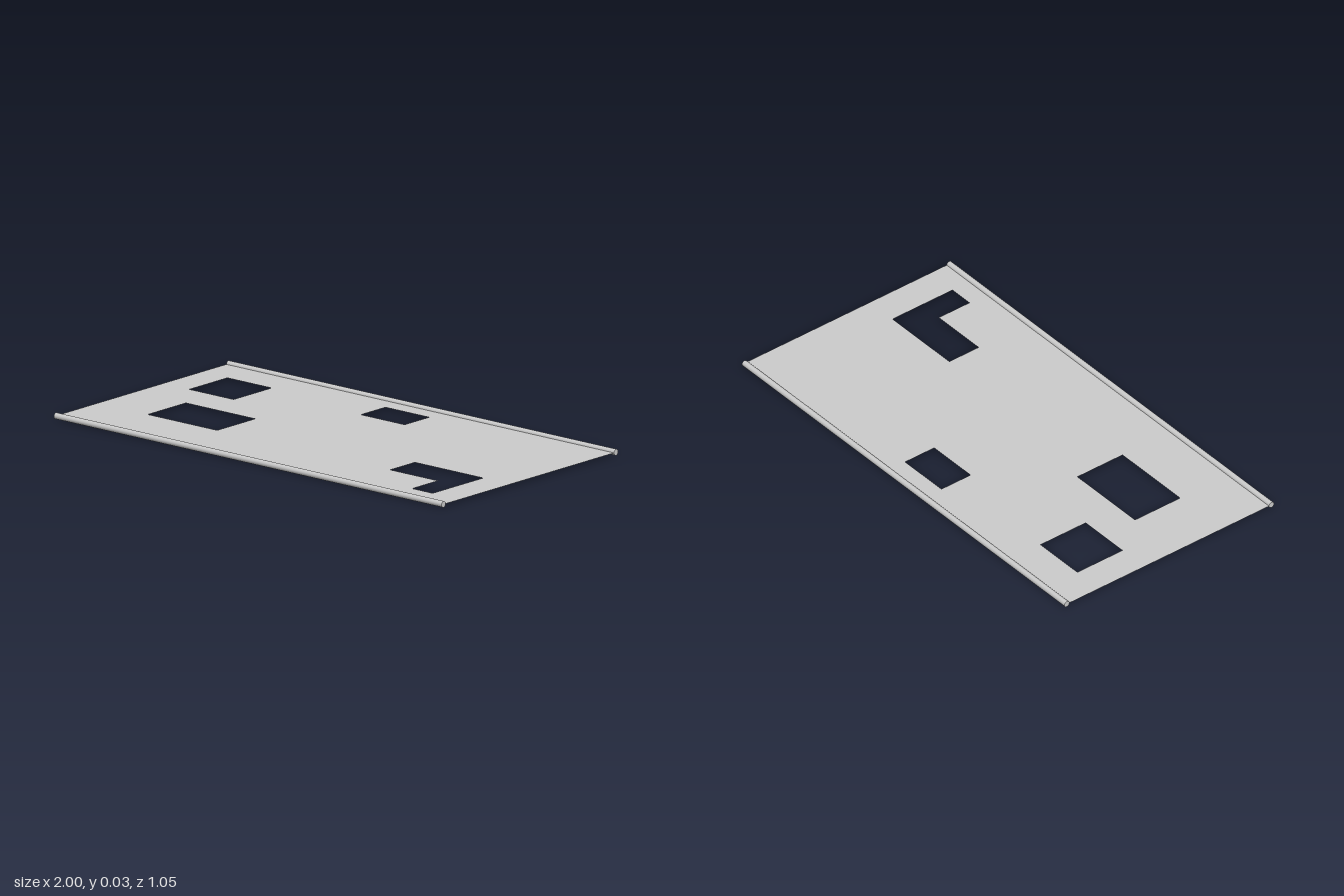
import * as THREE from 'three';

const RAIL_RADIUS = 0.0125;
const RAIL_Z = 0.511;

// Outline given as [x, z] corners, mapped to the shape plane (y = -z)
const toPoints = (corners) => corners.map(([x, z]) => new THREE.Vector2(x, -z));
const rect = (x0, x1, z0, z1) => [[x0, z0], [x1, z0], [x1, z1], [x0, z1]];

export function createModel() {
  const group = new THREE.Group();
  group.name = 'panel';
  const material = new THREE.MeshStandardMaterial({ color: 0xcccccc });
  const sheetMaterial = new THREE.MeshStandardMaterial({ color: 0xcccccc, side: THREE.DoubleSide });

  // Thin sheet with cut-outs
  const outline = new THREE.Shape(toPoints(rect(-1, 1, -RAIL_Z, RAIL_Z)));
  const cutouts = [
    rect(-0.865, -0.637, -0.35, -0.125),
    rect(-0.115, 0.11, -0.425, -0.28),
    rect(-0.742, -0.385, 0.037, 0.262),
    [[0.508, 0.116], [0.86, 0.116], [0.86, 0.415], [0.755, 0.415], [0.755, 0.262], [0.508, 0.262]],
  ];
  for (const cutout of cutouts) outline.holes.push(new THREE.Path(toPoints(cutout)));
  const sheet = new THREE.Mesh(new THREE.ShapeGeometry(outline).rotateX(-Math.PI / 2), sheetMaterial);
  sheet.name = 'sheet';
  sheet.position.y = RAIL_RADIUS;
  group.add(sheet);

  // Round rails along the two long edges
  const railGeometry = new THREE.CylinderGeometry(RAIL_RADIUS, RAIL_RADIUS, 2, 16).rotateZ(Math.PI / 2);
  for (const [name, side] of [['frontRail', 1], ['backRail', -1]]) {
    const rail = new THREE.Mesh(railGeometry, material);
    rail.name = name;
    rail.position.set(0, RAIL_RADIUS, side * RAIL_Z);
    group.add(rail);
  }
  return group;
}
